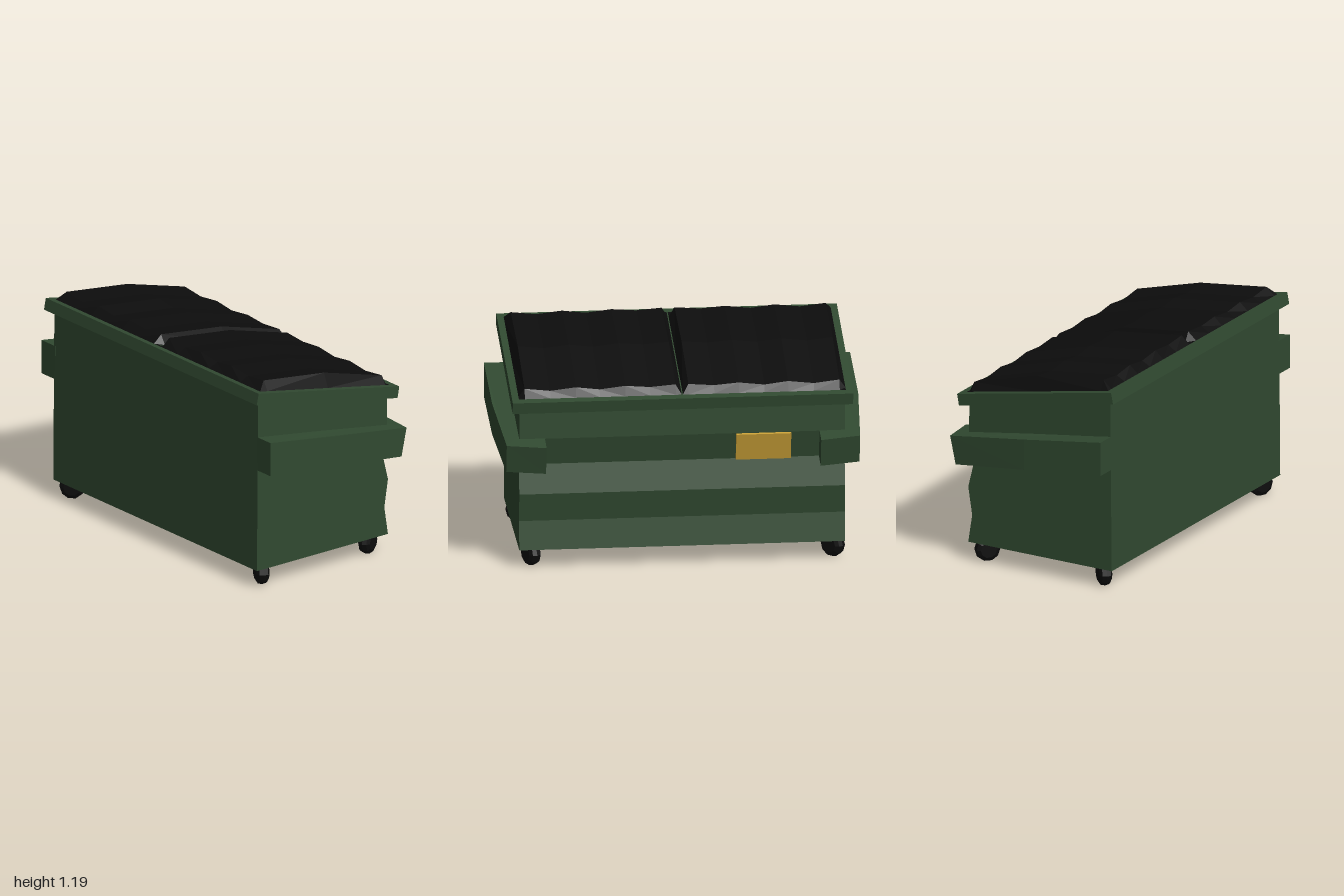
import * as THREE from 'three';

const green = new THREE.MeshStandardMaterial({ color: 0x314a31, flatShading: true });
green.name = 'green painted steel';
const black = new THREE.MeshStandardMaterial({ color: 0x0d0d0d, flatShading: true });
black.name = 'black plastic';
const yellow = new THREE.MeshStandardMaterial({ color: 0xc89f37, flatShading: true });
yellow.name = 'yellow sign';

function mesh(name, geometry, material) {
  const m = new THREE.Mesh(geometry, material);
  m.name = name;
  return m;
}

// Extrude an x/y profile symmetrically along z
function slab(points, halfDepth) {
  const shape = new THREE.Shape(points.map(([x, y]) => new THREE.Vector2(x, y)));
  return new THREE.ExtrudeGeometry(shape, { depth: halfDepth * 2, bevelEnabled: false })
    .translate(0, 0, -halfDepth);
}

// Piecewise linear interpolation through [x, y] points
function lerpThrough(table, x) {
  for (let i = 1; i < table.length; i++) {
    const [x0, y0] = table[i - 1], [x1, y1] = table[i];
    if (x <= x1 || i === table.length - 1) return y0 + (y1 - y0) * (x - x0) / (x1 - x0);
  }
}

// Height of the sloping rim surface
const rimTop = (x) => 1.061 - 0.1945 * x;

// Side rail that wraps round the sloped front corner
function railGeometry(side) {
  const plan = [[-0.485, 1], [0, 1], [0.49, 0.965], [0.52, 0.75], [0.37, 0.75], [0.37, 0.88], [0, 0.88], [-0.485, 0.88]];
  const top = [[-0.485, 0.888], [0, 0.815], [0.49, 0.735], [0.52, 0.726]];
  const bottom = [[-0.485, 0.695], [0, 0.64], [0.49, 0.575], [0.52, 0.567]];
  const shape = new THREE.Shape(plan.map(([x, z]) => new THREE.Vector2(x, -side * z)));
  const g = new THREE.ExtrudeGeometry(shape, { depth: 1, bevelEnabled: false }).rotateX(-Math.PI / 2);
  const p = g.attributes.position;
  for (let i = 0; i < p.count; i++) {
    const x = p.getX(i), isTop = p.getY(i) > 0.5;
    p.setY(i, lerpThrough(isTop ? top : bottom, x));
    if (!isTop && x > 0.45) p.setX(i, x - 0.035);
  }
  g.computeVertexNormals();
  return g;
}

// Ribbed lid: cross-sections along z over a humped profile
function lidGeometry(side) {
  const profile = [[-0.47, 0], [-0.42, 0.053], [0, 0.08], [0.4, 0.047], [0.425, 0]];
  const stations = [[0.003, null], [0.035, 0], [0.175, 0.011], [0.31, 0], [0.45, 0.016],
    [0.58, 0], [0.72, 0.016], [0.86, 0], [0.893, null]];
  const pos = [], idx = [], n = profile.length;
  for (const [z, drop] of stations) {
    for (const [x, h] of profile) {
      pos.push(x, rimTop(x) + (drop === null || h === 0 ? 0 : h - drop), side * z);
    }
  }
  for (let i = 0; i < stations.length - 1; i++) {
    for (let j = 0; j < n - 1; j++) {
      const a = i * n + j, b = a + 1, c = a + n, d = c + 1;
      if (side > 0) idx.push(a, c, b, b, c, d);
      else idx.push(a, b, c, b, d, c);
    }
  }
  const g = new THREE.BufferGeometry();
  g.setAttribute('position', new THREE.Float32BufferAttribute(pos, 3));
  g.setIndex(idx);
  g.computeVertexNormals();
  return g;
}

export function createModel() {
  const group = new THREE.Group();

  // Bin body with a creased front wall
  group.add(mesh('body', slab([
    [-0.49, 0.11], [0.42, 0.11], [0.395, 0.27], [0.42, 0.43], [0.38, 0.59],
    [0.415, 0.745], [0.412, 0.95], [-0.482, 1.12],
  ], 0.89), green));

  // Sloping rim
  group.add(mesh('rim', slab([
    [-0.523, 1.095], [0.455, 0.905], [0.467, 0.97], [-0.51, 1.16],
  ], 0.93), green));

  // Lids and side rails
  for (const side of [1, -1]) {
    group.add(mesh('lid', lidGeometry(side), black));
    group.add(mesh('sideRail', railGeometry(side), green));
  }

  // Sign on the outward-leaning front panel
  const sign = mesh('sign', new THREE.BoxGeometry(0.02, 0.158, 0.3), yellow);
  sign.position.set(0.402, 0.665, -0.445);
  sign.rotation.z = -Math.atan2(0.035, 0.155);
  group.add(sign);

  // Swivelled wheels: x, z, heading in degrees
  const wheelProfile = [[0, -0.036], [0.045, -0.036], [0.066, -0.024], [0.072, 0],
    [0.066, 0.024], [0.045, 0.036], [0, 0.036]].map(([r, y]) => new THREE.Vector2(r, y));
  const wheelGeometry = new THREE.LatheGeometry(wheelProfile, 10)
    .rotateX(Math.PI / 2).rotateZ(Math.PI / 10);
  for (const [x, z, heading] of [[0.335, 0.82, 25], [-0.405, 0.82, 65], [0.335, -0.83, 45], [-0.405, -0.83, -45]]) {
    const wheel = mesh('wheel', wheelGeometry, black);
    wheel.position.set(x, 0.07, z);
    wheel.rotation.y = THREE.MathUtils.degToRad(heading);
    group.add(wheel);
  }
  return group;
}
